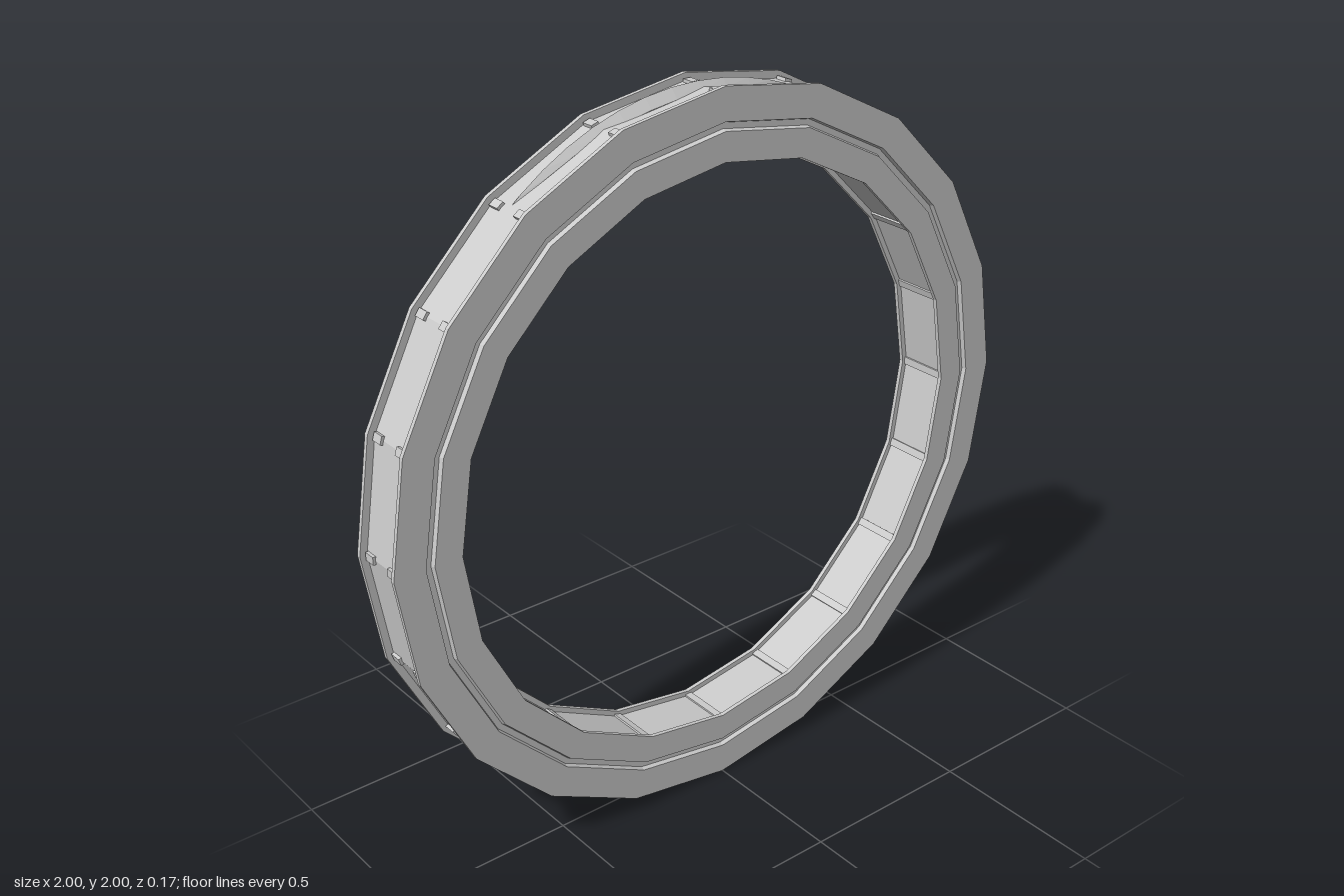
import * as THREE from 'three';
import { ConvexGeometry } from 'three/addons/geometries/ConvexGeometry.js';

const SIDES = 20;
const material = new THREE.MeshStandardMaterial({ color: 0xcccccc, flatShading: true });

function addMesh(parent, name, geometry) {
  const mesh = new THREE.Mesh(geometry, material);
  mesh.name = name;
  parent.add(mesh);
  return mesh;
}

export function createModel() {
  const model = new THREE.Group();
  model.name = 'ring';
  const wheel = new THREE.Group();
  wheel.name = 'wheel';
  wheel.position.y = 1;
  model.add(wheel);

  // Half of the cross-section (radius, depth): recessed tread, flange, face groove, inner lip
  const half = [
    [0.98, 0.072], [1, 0.072], [1, 0.084],
    [0.912, 0.084], [0.908, 0.072], [0.892, 0.072], [0.888, 0.084],
    [0.81, 0.084], [0.81, 0.072], [0.825, 0.072],
  ];
  const mirrored = half.map(([r, z]) => [r, -z]).reverse();
  const profile = [...half, ...mirrored, half[0]].map(([r, z]) => new THREE.Vector2(r, z));
  addMesh(wheel, 'rim', new THREE.LatheGeometry(profile, SIDES).rotateX(Math.PI / 2));

  // Small cleats on the outer corners and cross ribs on the inner corners
  const cleat = new THREE.BoxGeometry(0.024, 0.022, 0.034);
  const rib = new THREE.BoxGeometry(0.012, 0.022, 0.15);
  for (let i = 0; i < SIDES; i++) {
    const corner = new THREE.Group();
    corner.name = 'corner';
    corner.rotation.z = (i / SIDES) * Math.PI * 2;
    wheel.add(corner);
    for (const z of [-0.05, 0.05]) addMesh(corner, 'cleat', cleat).position.set(0.975, 0, z);
    addMesh(corner, 'innerRib', rib).position.set(0.824, 0, 0);
  }

  // Slender raised ridge along the top of the tread
  const points = [];
  for (let i = 0; i <= 12; i++) {
    const t = i / 12;
    const angle = THREE.MathUtils.degToRad(72 + 56 * t);
    const swell = Math.sin(Math.PI * t);
    for (const [r, z] of [[0.975 + 0.023 * swell, 0], [0.97, 0.02 * swell], [0.97, -0.02 * swell]]) {
      points.push(new THREE.Vector3(r * Math.cos(angle), r * Math.sin(angle), z - 0.01));
    }
  }
  addMesh(wheel, 'topRidge', new ConvexGeometry(points));

  return model;
}
